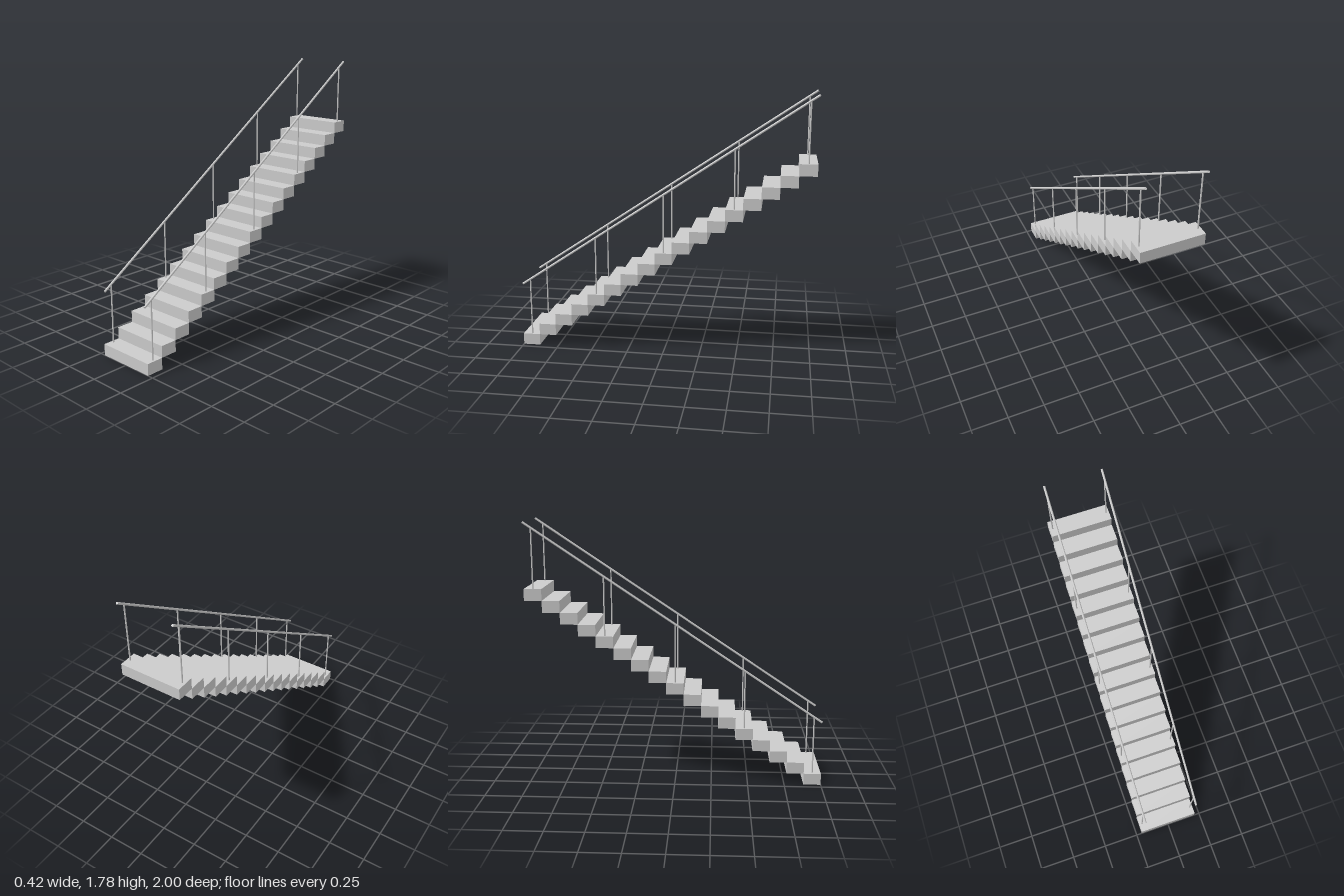
import * as THREE from 'three';

const STEPS = 17;
const RUN = 2 / STEPS;
const RISE = 1.34 / STEPS;
const WIDTH = 0.42;
const RAIL_X = 0.19;
const POST_HEIGHT = 0.4;

export function createModel() {
  const group = new THREE.Group();
  const material = new THREE.MeshStandardMaterial({ color: 0xcccccc });

  const add = (name, geometry, x, y, z) => {
    const mesh = new THREE.Mesh(geometry, material);
    mesh.name = name;
    mesh.position.set(x, y, z);
    group.add(mesh);
    return mesh;
  };
  const stepZ = (i) => 1 - (i + 0.5) * RUN;

  // Solid block steps climbing from front to back
  const stepGeometry = new THREE.BoxGeometry(WIDTH, RISE, RUN);
  for (let i = 0; i < STEPS; i++) {
    add(`step${i + 1}`, stepGeometry, 0, (i + 0.5) * RISE, stepZ(i));
  }

  // Posts on every fourth step, with a sloping handrail along their tops
  const slope = Math.atan2(RISE, RUN);
  const railLength = 1.99 / Math.cos(slope);
  const postGeometry = new THREE.CylinderGeometry(0.005, 0.005, POST_HEIGHT, 12);
  const railGeometry = new THREE.CylinderGeometry(0.0075, 0.0075, railLength, 16);
  const middleTop = (STEPS + 1) / 2 * RISE + POST_HEIGHT;

  for (const [side, sign] of [['left', 1], ['right', -1]]) {
    const x = sign * RAIL_X;
    for (let i = 0; i < STEPS; i += 4) {
      add(`${side}Post${i / 4 + 1}`, postGeometry, x, (i + 1) * RISE + POST_HEIGHT / 2, stepZ(i));
    }
    const rail = add(`${side}Handrail`, railGeometry, x, middleTop, 0);
    rail.rotation.x = slope - Math.PI / 2;
  }

  return group;
}
